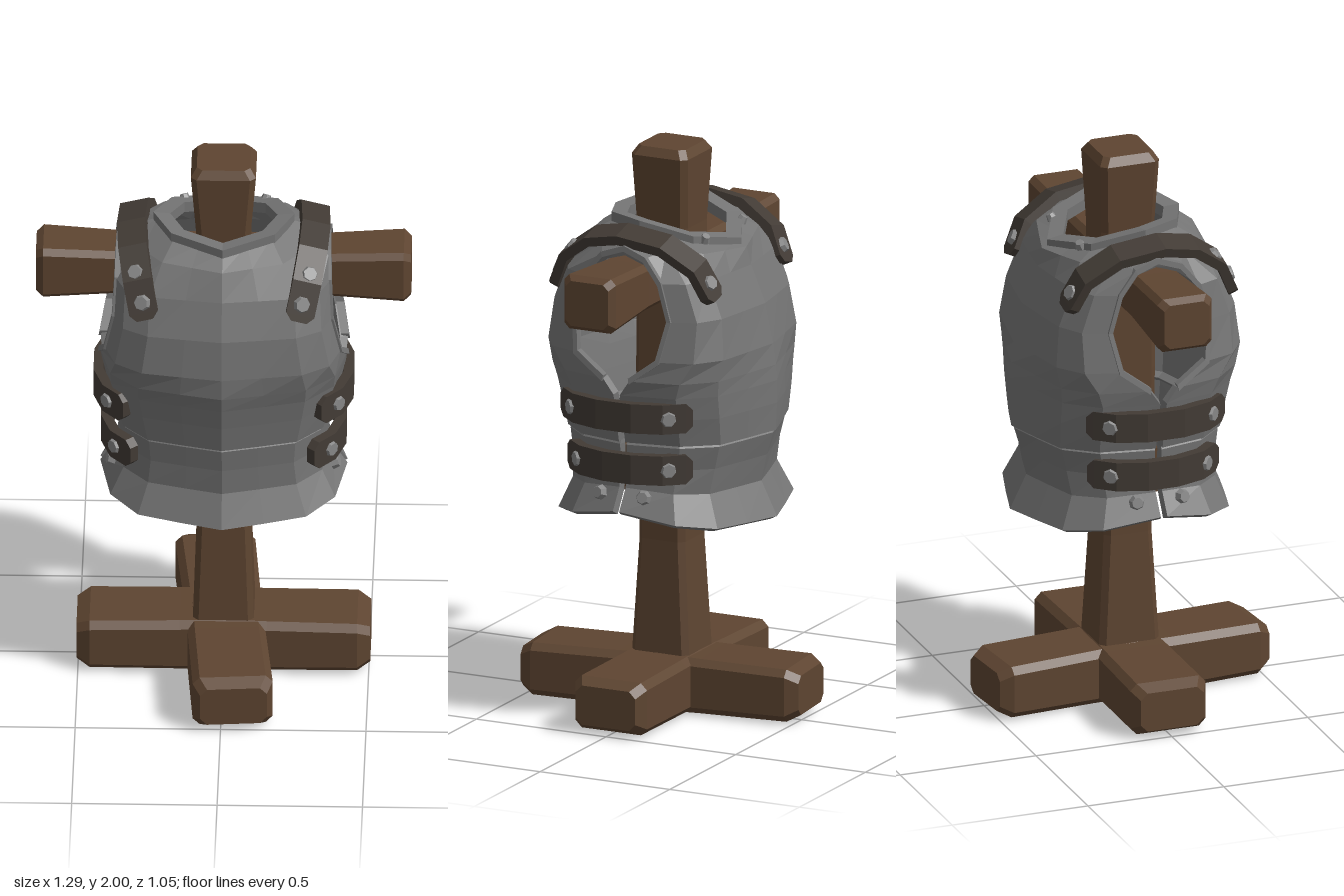
import * as THREE from 'three';

const V = (x, y, z) => new THREE.Vector3(x, y, z);
const mat = (name, color) => Object.assign(new THREE.MeshStandardMaterial({ color }), { name });

// Flat-faced geometry from points and triangle indices
function faceted(points, index) {
  const g = new THREE.BufferGeometry().setFromPoints(points);
  g.setIndex(index);
  const flat = g.toNonIndexed();
  flat.computeVertexNormals();
  return flat;
}

// Closed solid lofted through equal-length sections; winding is set by its signed volume
function solid(sections, loop = false) {
  const n = sections[0].length, m = sections.length, p = sections.flat(), idx = [];
  for (let s = 0; s < (loop ? m : m - 1); s++)
    for (let i = 0; i < n; i++) {
      const t = ((s + 1) % m) * n, j = (i + 1) % n, a = s * n;
      idx.push(a + i, a + j, t + j, a + i, t + j, t + i);
    }
  if (!loop) for (let i = 1; i < n - 1; i++) {
    const e = (m - 1) * n;
    idx.push(0, i + 1, i, e, e + i, e + i + 1);
  }
  let vol = 0;
  for (let i = 0; i < idx.length; i += 3)
    vol += p[idx[i]].dot(p[idx[i + 1]].clone().cross(p[idx[i + 2]]));
  return faceted(p, vol < 0 ? idx.reverse() : idx);
}

// Hewn beam along y: stations are [y, halfX, halfZ], with chamfered corners
function beam(stations, k = 0.02) {
  return solid(stations.map(([y, a, b]) => [
    [a, b - k], [a - k, b], [k - a, b], [-a, b - k], [-a, k - b], [k - a, -b], [a - k, -b], [a, k - b],
  ].map(([x, z]) => V(x, y, z))));
}

// Ring of box section following a path, scaled about a centre
function ring(path, c, inner, outer, d, loop) {
  return solid(path.map((p) => {
    const at = (s) => p.clone().sub(c).multiplyScalar(s).add(c);
    return [at(inner).sub(d), at(outer).sub(d), at(outer).add(d), at(inner).add(d)];
  }), loop);
}

// Flat band along a path, tapering to blunt tips
function strap(path, across, half, thick) {
  const last = path.length - 1;
  const section = (p, t, h) => {
    const w = across.clone().multiplyScalar(h);
    const n = t.clone().cross(across).normalize().multiplyScalar(thick / 2);
    return [p.clone().add(w).add(n), p.clone().sub(w).add(n), p.clone().sub(w).sub(n), p.clone().add(w).sub(n)];
  };
  const out = [];
  path.forEach((p, i) => {
    const t = path[Math.min(i + 1, last)].clone().sub(path[Math.max(i - 1, 0)]).normalize();
    const tip = (s) => section(p.clone().addScaledVector(t, s * 0.025), t, half * 0.55);
    if (i === 0) out.push(tip(-1));
    out.push(section(p, t, half));
    if (i === last) out.push(tip(1));
  });
  return solid(out);
}

// Armour sheet with thickness from a grid of points
function sheet(grid, thick = 0.028) {
  const R = grid.length, C = grid[0].length, p = grid.flat(), N = p.length, idx = [];
  for (let r = 0; r < R - 1; r++)
    for (let c = 0; c < C - 1; c++) {
      const a = r * C + c;
      idx.push(a, a + 1, a + C + 1, a, a + C + 1, a + C);
    }
  const g = new THREE.BufferGeometry().setFromPoints(p);
  g.setIndex(idx);
  g.computeVertexNormals();
  const nor = g.getAttribute('normal');
  const inner = p.map((v, i) => v.clone().addScaledVector(V(nor.getX(i), nor.getY(i), nor.getZ(i)), -thick));
  const all = [...idx];
  for (let i = 0; i < idx.length; i += 3) all.push(idx[i] + N, idx[i + 2] + N, idx[i + 1] + N);
  const edge = [];
  for (let c = 0; c < C - 1; c++) edge.push(c);
  for (let r = 0; r < R - 1; r++) edge.push(r * C + C - 1);
  for (let c = C - 1; c > 0; c--) edge.push((R - 1) * C + c);
  for (let r = R - 1; r > 0; r--) edge.push(r * C);
  edge.forEach((i, k) => {
    const j = edge[(k + 1) % edge.length];
    all.push(j, i, i + N, j, i + N, j + N);
  });
  return faceted([...p, ...inner], all);
}

// Horizontal torso profile from centre line to side edge
const FX = [0, 0.34, 0.68, 0.91, 1], FZ = [1, 0.9, 0.79, 0.5, 0];
const halfRow = ([y, w, zc, ze, lift = 0]) =>
  FX.map((f, i) => V(f * w, y + lift * (1 - FZ[i]), ze + (zc - ze) * FZ[i]));
const mirrorRow = (row) => [...row.slice(1).reverse().map((p) => V(-p.x, p.y, p.z)), ...row];

export function createModel() {
  const model = new THREE.Group();
  model.name = 'armourStand';
  const wood = mat('wood', 0x5e4531), steel = mat('steel', 0x757575);
  const leather = mat('leather', 0x423b35), rivetMetal = mat('rivetMetal', 0x868686);
  const add = (name, geo, m) => {
    const mesh = new THREE.Mesh(geo, m);
    mesh.name = name;
    model.add(mesh);
    return mesh;
  };

  // Wooden stand
  add('post', beam([[0.05, 0.1, 0.1], [0.2, 0.105, 0.11], [0.6, 0.092, 0.088], [1.2, 0.095, 0.1],
    [1.72, 0.092, 0.098], [1.97, 0.112, 0.108], [2, 0.092, 0.09]]), wood);
  const arm = add('crossArm', beam([[-0.645, 0.08, 0.082], [-0.62, 0.097, 0.1], [-0.35, 0.083, 0.09],
    [0.35, 0.083, 0.09], [0.62, 0.097, 0.1], [0.645, 0.08, 0.082]]), wood);
  arm.rotation.z = Math.PI / 2;
  arm.position.y = 1.575;
  const brace = add('lowerBrace', beam([[-0.3, 0.08, 0.08], [0.3, 0.08, 0.08]]), wood);
  brace.rotation.z = Math.PI / 2;
  brace.position.y = 0.91;
  const foot = (end) => beam([[-end, 0.07, 0.115], [0.045 - end, 0.093, 0.138], [-0.15, 0.097, 0.134], [0, 0.101, 0.132],
    [0.15, 0.097, 0.134], [end - 0.045, 0.093, 0.138], [end, 0.07, 0.115]], 0.024);
  [['footSide', 0, 0.505], ['footFront', Math.PI / 2 + 0.087, 0.515]].forEach(([name, turn, end], i) => {
    add(name, foot(end).rotateZ(Math.PI / 2).rotateY(turn).translate(0, 0.103 - i * 0.002, 0), wood);
  });

  // Breastplate and backplate: rows are [y, halfWidth, centreZ, edgeZ, edgeLift]
  const front = {
    rows: [[1.022, 0.378, 0.338, 0.012], [1.12, 0.402, 0.355, 0.012], [1.2, 0.42, 0.372, 0.012],
      [1.255, 0.425, 0.384, 0.05], [1.33, 0.405, 0.382, 0.165], [1.47, 0.375, 0.36, 0.185], [1.6, 0.368, 0.31, 0.15]],
    skirt: [[0.72, 0.425, 0.365, 0.012, 0.065], [0.835, 0.375, 0.315, 0.012, 0.025], [0.93, 0.362, 0.32, 0.012],
      [1.012, 0.37, 0.33, 0.012], [1.04, 0.352, 0.312, 0.012]],
    neck: [V(0, 1.735, 0.2), V(0.082, 1.745, 0.165), V(0.165, 1.755, 0.13), V(0.225, 1.755, 0), V(0.362, 1.71, 0)],
  };
  const back = {
    rows: [[1.022, 0.378, 0.4, 0.012], [1.12, 0.402, 0.405, 0.012], [1.2, 0.42, 0.405, 0.012],
      [1.255, 0.425, 0.4, 0.05], [1.33, 0.405, 0.39, 0.15], [1.47, 0.375, 0.36, 0.18], [1.6, 0.368, 0.305, 0.14]],
    skirt: [[0.715, 0.425, 0.405, 0.012, 0.07], [0.835, 0.375, 0.345, 0.012, 0.025], [0.93, 0.362, 0.365, 0.012],
      [1.012, 0.37, 0.39, 0.012], [1.04, 0.352, 0.372, 0.012]],
    neck: [V(0, 1.675, 0.25), V(0.085, 1.69, 0.208), V(0.17, 1.71, 0.165), V(0.225, 1.755, 0), V(0.362, 1.71, 0)],
  };
  for (const half of [front, back]) {
    const rows = half.rows.map(halfRow);
    const top = rows[rows.length - 1];
    rows.push(top.map((p, i) => p.clone().lerp(half.neck[i], 0.5).add(V(0, 0.025, 0.01))), half.neck);
    half.edge = rows.slice(3).map((r) => r[4]);
    const turn = half === back ? Math.PI : 0;
    const side = turn ? 'back' : 'breast';
    add(side + 'Plate', sheet(rows.map(mirrorRow)).rotateY(turn), steel);
    add(side + 'Skirt', sheet(half.skirt.map(halfRow).map(mirrorRow)).rotateY(turn), steel);
  }

  // Eight-sided collar around the neck opening
  const rear = (p) => V(p.x, p.y, -p.z), flip = (p) => V(-p.x, p.y, p.z);
  const sideLoop = [front.neck[0], front.neck[2], front.neck[3], rear(back.neck[2]), rear(back.neck[0])];
  const collar = [...sideLoop, ...sideLoop.slice(1, -1).reverse().map(flip)];
  add('collar', ring(collar, V(0, 1.72, -0.02), 0.82, 1.08, V(0, 0.02, 0), true), steel);

  // Rivet with a low domed head, facing along n
  const rivet = (p, n, r = 0.034) => {
    const g = new THREE.CylinderGeometry(r * 0.7, r, 0.024, 7).toNonIndexed();
    g.computeVertexNormals();
    const m = add('rivet', g, rivetMetal);
    m.position.copy(p);
    m.quaternion.setFromUnitVectors(V(0, 1, 0), n.clone().normalize());
  };

  for (const s of [1, -1]) {
    // Armhole rims
    const hole = [...front.edge, ...back.edge.slice(0, -1).reverse().map(rear)];
    add('armholeRim', ring(hole.map((p) => V(s * (p.x - 0.008), p.y, p.z)), V(s * 0.38, 1.48, 0), 0.95, 1.04, V(0.014, 0, 0), false), steel);

    // Shoulder straps
    const over = [[0.268, 1.55, 0.296], [0.29, 1.65, 0.25], [0.308, 1.722, 0.15], [0.315, 1.745, 0.03],
      [0.308, 1.722, -0.13], [0.29, 1.65, -0.245], [0.27, 1.56, -0.288]].map(([x, y, z]) => V(s * x, y, z));
    add('shoulderStrap', strap(over, V(s, -0.25, 0).normalize(), 0.05, 0.035), leather);
    rivet(V(s * 0.276, 1.59, 0.297), V(s * 0.3, 0.4, 1));
    rivet(V(s * 0.3, 1.675, 0.235), V(s * 0.3, 0.8, 0.9));
    rivet(V(s * 0.277, 1.6, -0.287), V(s * 0.3, 0.5, -1));

    // Side straps, upper and lower
    for (const [y, grow] of [[1.13, 0], [0.94, -0.025]]) {
      const quarter = [[0.345, 0.225], [0.398, 0.165], [0.43, 0.065]].map(([x, z]) => V(s * (x + grow), y, z + grow * 0.5));
      add('sideStrap', strap([...quarter, ...quarter.slice().reverse().map(rear)], V(0, 1, 0), 0.052, 0.035), leather);
      for (const f of [1, -1]) rivet(V(s * (0.397 + grow), y, f * (0.188 + grow * 0.5)), V(s, 0, f * 0.85));
    }

    // Skirt rivets and small collar rivets
    for (const f of [1, -1]) rivet(V(s * 0.388, 0.835, f * 0.085), V(s, 0.25, f * 0.2), 0.028);
    rivet(V(s * 0.14, 1.715, -0.2), V(s * 0.3, 1, -0.5), 0.02);
  }
  return model;
}
